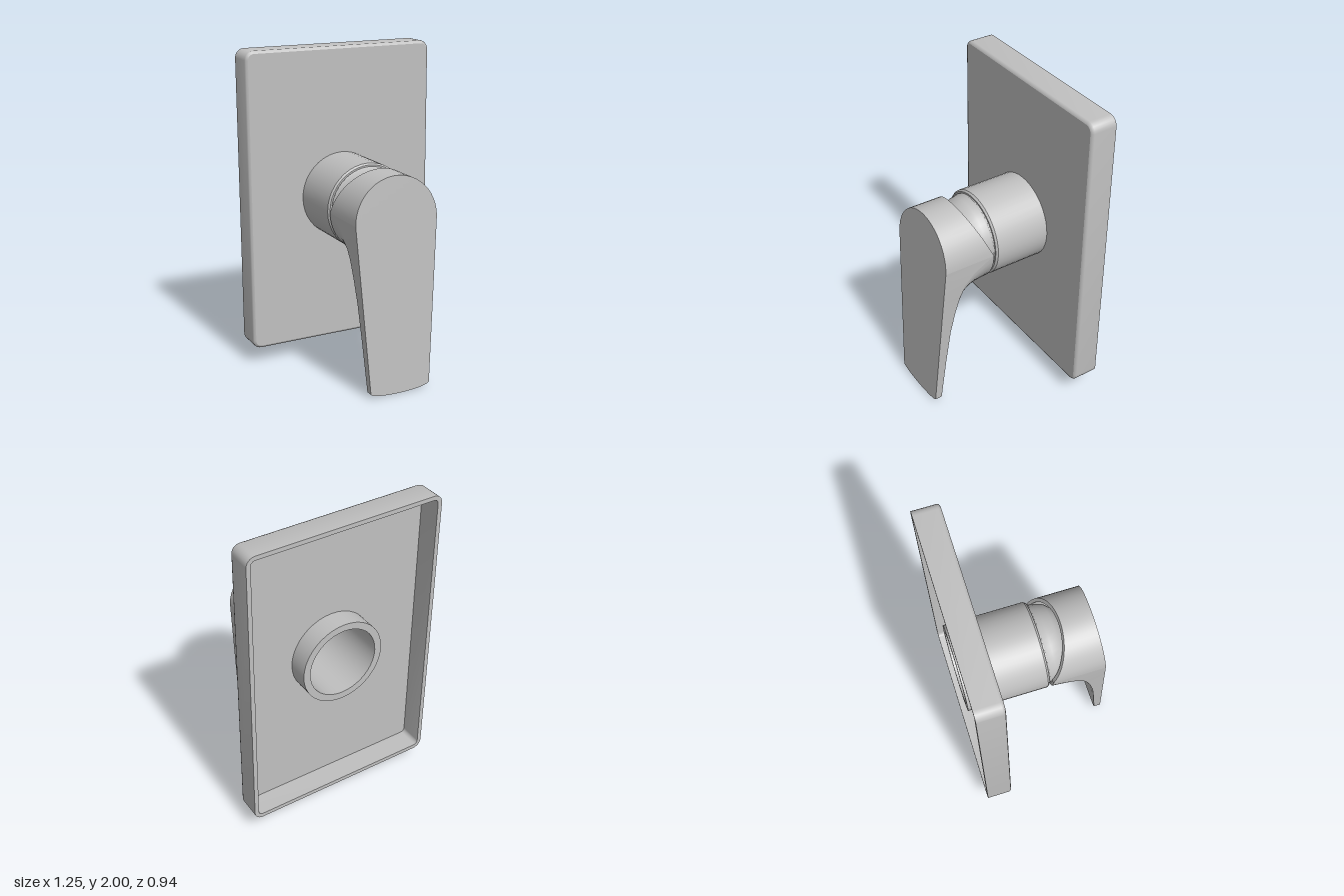
import * as THREE from 'three';
import { toCreasedNormals } from 'three/addons/utils/BufferGeometryUtils.js';

const CY = 1.065, R = 0.27;          // axis height and radius of the valve
const metal = new THREE.MeshStandardMaterial({ color: 0xc0c0c0, side: THREE.DoubleSide });
metal.name = 'satin metal';

function mesh(name, geometry, crease = 0.5) {
  const m = new THREE.Mesh(toCreasedNormals(geometry, crease), metal);
  m.name = name;
  return m;
}

// Surface through rows of [x, y, z] points
function grid(rows) {
  const n = rows[0].length, index = [];
  for (let i = 0; i < rows.length - 1; i++) {
    for (let j = 0; j < n - 1; j++) {
      const a = i * n + j, b = a + n;
      index.push(a, b, b + 1, a, b + 1, a + 1);
    }
  }
  const g = new THREE.BufferGeometry();
  g.setAttribute('position', new THREE.Float32BufferAttribute(rows.flat(2), 3));
  g.setIndex(index);
  g.computeVertexNormals();
  return g;
}

// Surface of revolution around the valve axis, profile as [radius, z]
function turned(name, profile) {
  const g = new THREE.LatheGeometry(profile.map(([r, z]) => new THREE.Vector2(r, z)), 40);
  g.rotateX(Math.PI / 2).translate(0, CY, 0);
  return mesh(name, g);
}

// Rounded rectangle of the wall plate, drawn in by an inset
function plateOutline(inset) {
  const hx = 0.627 - inset, hy = 0.943 - inset, r = Math.max(0.055 - inset, 0.02), pts = [];
  [[1, 1], [-1, 1], [-1, -1], [1, -1]].forEach(([sx, sy], q) => {
    for (let k = 0; k <= 6; k++) {
      const a = (q + k / 6) * Math.PI / 2;
      pts.push([sx * (hx - r) + r * Math.cos(a), 1.057 + sy * (hy - r) + r * Math.sin(a)]);
    }
  });
  pts.push(pts[0]);
  return pts;
}

function plateFace(inset, z) {
  const shape = new THREE.Shape(plateOutline(inset).slice(0, -1).map(p => new THREE.Vector2(...p)));
  shape.holes.push(new THREE.Path().absarc(0, CY, 0.25, 0, Math.PI * 2, true));
  return new THREE.ShapeGeometry(shape, 20).translate(0, 0, z);
}

function makePlate() {
  const g = new THREE.Group();
  g.name = 'wallPlate';
  // inner wall, back rim, outer wall and rounded front edge
  const steps = [[0.027, -0.325], [0.027, -0.47], [0, -0.47], [0, -0.322],
    [0.005, -0.31], [0.017, -0.305]];
  const rows = steps.map(([d, z]) => plateOutline(d).map(([x, y]) => [x, y, z]).reverse());
  g.add(mesh('plateRim', grid(rows), 0.8));
  g.add(mesh('plateFront', plateFace(0.017, -0.305)));
  const floor = plateFace(0.027, -0.325);
  floor.index.array.reverse();
  g.add(mesh('plateBack', floor));
  return g;
}

function makeHandle() {
  const g = new THREE.Group();
  g.name = 'leverHandle';
  const N = 24;
  const angles = Array.from({ length: N + 1 }, (_, i) => Math.PI * i / N);
  const frontZ = y => 0.472 - 0.055 * y;
  const cutZ = y => 0.08 + 0.45 * Math.max(0, y - CY);
  const halfWidth = y => 0.2 + 0.07 * Math.min(1, (y - 0.03) / (CY - 0.03));
  const lerp = THREE.MathUtils.lerp;

  // underside: [z, y] along the middle and along the side edges
  const middle = [[0.08, 0.795], [0.2, 0.79], [0.25, 0.785], [0.295, 0.765], [0.325, 0.725],
    [0.352, 0.65], [0.38, 0.5], [0.402, 0.3], [0.425, 0.005]];
  const edge = [[0.08, CY], [0.15, 1.03], [0.22, 0.985], [0.28, 0.92], [0.31, 0.84],
    [0.34, 0.73], [0.37, 0.58], [0.398, 0.33], [0.425, 0.035]];
  const under = middle.map(([zm, ym], i) => angles.map(a => {
    const s = Math.cos(a), w = 1 - Math.sin(a), y = lerp(ym, edge[i][1], w);
    return [s * lerp(R, halfWidth(y), Math.min(1, i / 4)), y, lerp(zm, edge[i][0], w)];
  }));
  g.add(mesh('handleUnderside', grid(under), 0.6));

  // rounded top with slanted back edge
  const arc = angles.map(a => [-R * Math.cos(a), CY + R * Math.sin(a)]);
  g.add(mesh('handleTop', grid([
    arc.map(([x, y]) => [x, y, cutZ(y)]),
    arc.map(([x, y]) => [x, y, frontZ(y)])])));

  // blade sides
  for (const side of [1, -1]) {
    const back = under.map(row => row[side > 0 ? 0 : N]);
    const front = back.map(([, y]) => [side * halfWidth(y), y, frontZ(y)]);
    if (side < 0) { back.reverse(); front.reverse(); }
    g.add(mesh(side > 0 ? 'leftBladeSide' : 'rightBladeSide', grid([back, front])));
  }

  // blade tip
  const tip = under[under.length - 1];
  const tipFront = tip.map(([x, y]) => [x, y, frontZ(y)]);
  g.add(mesh('bladeTip', grid([tip, tipFront])));

  // flat front
  const face = [];
  for (let k = 0; k <= 12; k++) {
    const a = Math.PI / 2 * (1 - k / 12), y = CY + R * Math.sin(a);
    face.push(angles.map(t => [-R * Math.cos(a) * Math.cos(t), y, frontZ(y)]));
  }
  face.push(tipFront.slice().reverse());
  g.add(mesh('handleFront', grid(face)));

  // rim and socket at the back
  const ring = (r, z) => Array.from({ length: 2 * N + 1 }, (_, i) => {
    const a = Math.PI * i / N, y = CY + r * Math.sin(a);
    return [r * Math.cos(a), y, z ?? cutZ(y)];
  });
  g.add(mesh('handleRim', grid([ring(R), ring(0.247)])));
  g.add(mesh('handleSocket', grid([ring(0.247), ring(0.247, 0.27)])));
  return g;
}

export function createModel() {
  const model = new THREE.Group();
  model.name = 'wallMixer';
  model.add(makePlate());
  // hollow sleeve, open at the back
  model.add(turned('sleeve', [[0.225, 0.04], [0.225, -0.455], [R, -0.455], [R, 0.048],
    [0.26, 0.06], [0.225, 0.06]]));
  // neck with domed end inside the handle
  model.add(turned('neck', [[0.25, 0.04], [0.25, 0.068], [0.245, 0.075], [0.24, 0.11],
    [0.225, 0.16], [0.19, 0.2], [0.12, 0.235], [0, 0.25]]));
  model.add(makeHandle());
  return model;
}
